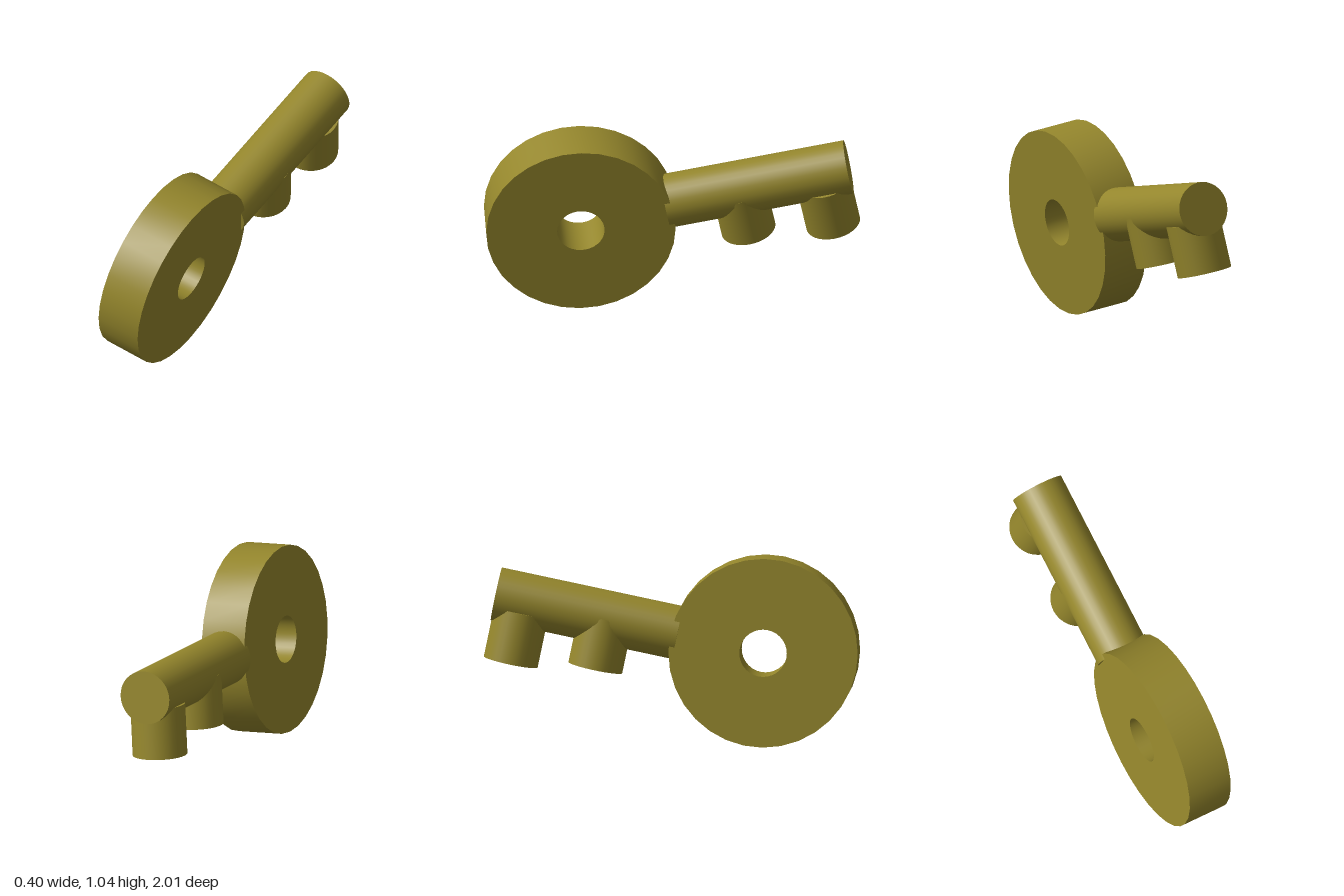
import * as THREE from 'three';
import { toCreasedNormals } from 'three/addons/utils/BufferGeometryUtils.js';

const RAD = Math.PI / 180;

export function createModel() {
  const model = new THREE.Group();
  model.name = 'key';
  const brass = new THREE.MeshStandardMaterial({ color: 0x94862c });

  const add = (parent, name, geometry) => {
    const mesh = new THREE.Mesh(geometry, brass);
    mesh.name = name;
    parent.add(mesh);
    return mesh;
  };

  // The whole key leans sideways and points its blade slightly upward
  const body = new THREE.Group();
  body.name = 'keyBody';
  body.position.set(0, 0.521, 0.493);
  body.rotation.set(11.4 * RAD, 0, -8.2 * RAD, 'ZYX');
  model.add(body);

  // Round bow: thick disc with a hole, its axis along x
  const thickness = 0.253;
  const outline = new THREE.Shape().absarc(0, 0, 0.507, 0, Math.PI * 2, false);
  outline.holes.push(new THREE.Path().absarc(0, 0, 0.127, 0, Math.PI * 2, true));
  const disc = new THREE.ExtrudeGeometry(outline, {
    depth: thickness, bevelEnabled: false, curveSegments: 16,
  });
  disc.translate(0, 0, -thickness / 2).rotateY(Math.PI / 2);
  add(body, 'bow', toCreasedNormals(disc, 0.6));

  // Shaft running back from the rim
  const start = 0.47, end = 1.465;
  const shaft = new THREE.CylinderGeometry(0.145, 0.145, end - start, 32);
  shaft.rotateX(Math.PI / 2).translate(0, 0, -(start + end) / 2);
  add(body, 'shaft', shaft);

  // Two round teeth hanging below: [distance along shaft, top below shaft axis]
  const toothLength = 0.277;
  [[0.866, 0], [1.315, 0.065]].forEach(([along, drop], i) => {
    const tooth = add(body, `tooth${i + 1}`,
      new THREE.CylinderGeometry(0.147, 0.147, toothLength, 32));
    tooth.position.set(0, -drop - toothLength / 2, -along);
  });

  return model;
}
